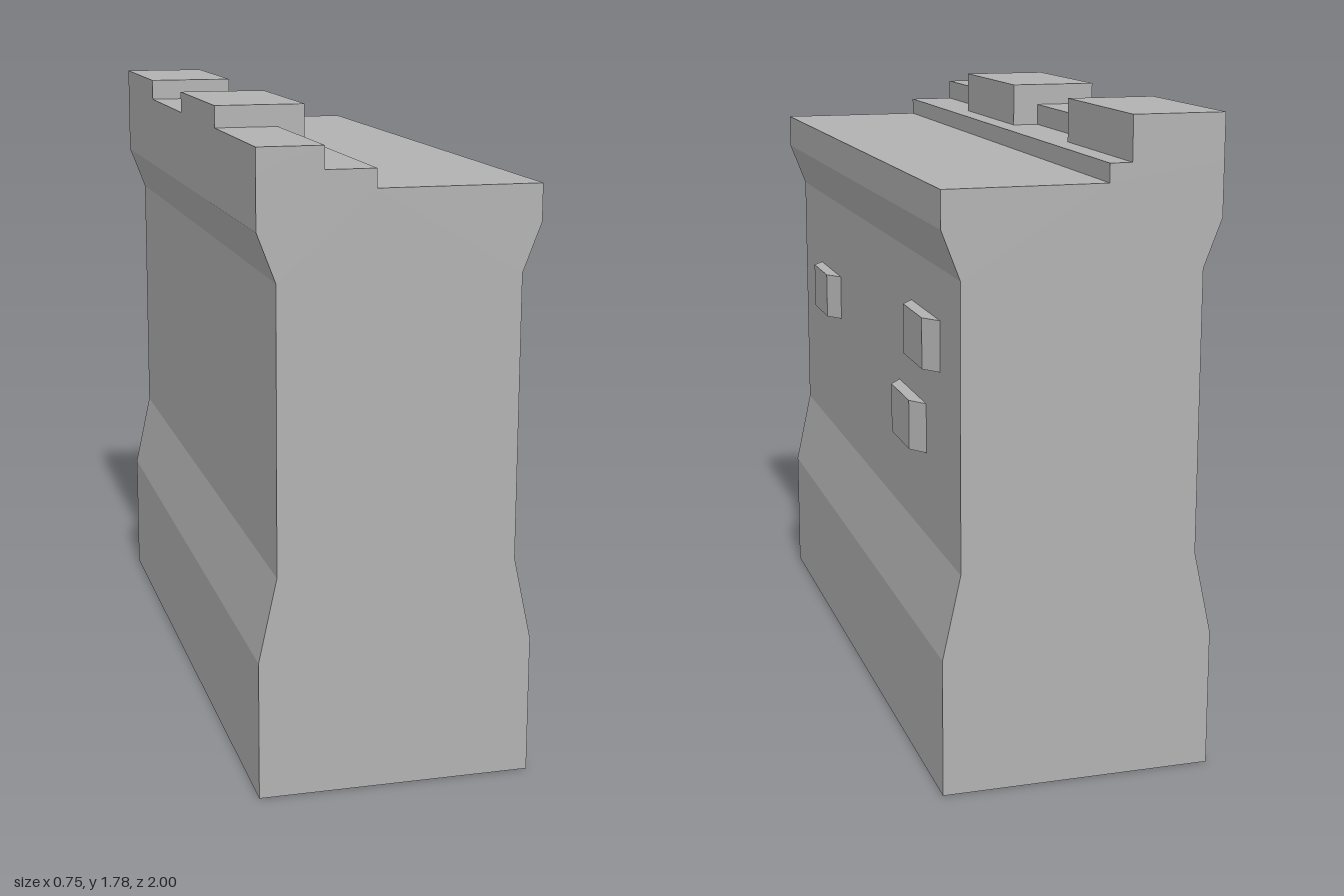
import * as THREE from 'three';

const stone = new THREE.MeshStandardMaterial({ color: 0xb2b2b2 });
stone.name = 'stone grey';

export function createModel() {
  const wall = new THREE.Group();
  wall.name = 'battlementWall';

  const add = (name, geometry, x, y, z, parent = wall) => {
    const mesh = new THREE.Mesh(geometry, stone);
    mesh.name = name;
    mesh.position.set(x, y, z);
    parent.add(mesh);
    return mesh;
  };

  // Wall body: flared foot, narrow waist, flared walkway with one step
  const profile = [
    [-0.375, 0], [0.375, 0], [0.375, 0.38], [0.325, 0.61], [0.325, 1.38], [0.375, 1.51],
    [0.375, 1.61], [-0.065, 1.61], [-0.065, 1.66], [-0.375, 1.66],
    [-0.375, 1.51], [-0.325, 1.38], [-0.325, 0.61], [-0.375, 0.38],
  ];
  const section = new THREE.Shape(profile.map(([x, y]) => new THREE.Vector2(x, y)));
  add('wallBody', new THREE.ExtrudeGeometry(section, { depth: 2, bevelEnabled: false }), 0, 0, -1);

  // Parapet: alternating tall merlons and low crenels along the outer edge
  const parapet = new THREE.Group();
  parapet.name = 'parapet';
  wall.add(parapet);
  for (let i = 0; i < 4; i++) {
    const tall = i % 2 === 0;
    const width = tall ? 0.25 : 0.175;
    const height = tall ? 0.12 : 0.06;
    add(tall ? 'merlon' : 'crenel', new THREE.BoxGeometry(width, height, 0.5),
      -0.375 + width / 2, 1.66 + height / 2, -0.75 + i * 0.5, parapet);
  }

  // Raised bricks with slanted ends on the inner face
  const brickShape = new THREE.Shape([
    [0, -0.15], [0.036, -0.1], [0.036, 0.1], [0, 0.15],
  ].map(([x, z]) => new THREE.Vector2(x, z)));
  const brick = new THREE.ExtrudeGeometry(brickShape, { depth: 0.138, bevelEnabled: false });
  brick.rotateX(-Math.PI / 2);
  const bricks = new THREE.Group();
  bricks.name = 'raisedBricks';
  wall.add(bricks);
  for (const [y, z] of [[1.004, 0.58], [1.103, -0.653], [0.845, -0.507]]) {
    add('brick', brick, 0.325, y, z, bricks);
  }

  return wall;
}
